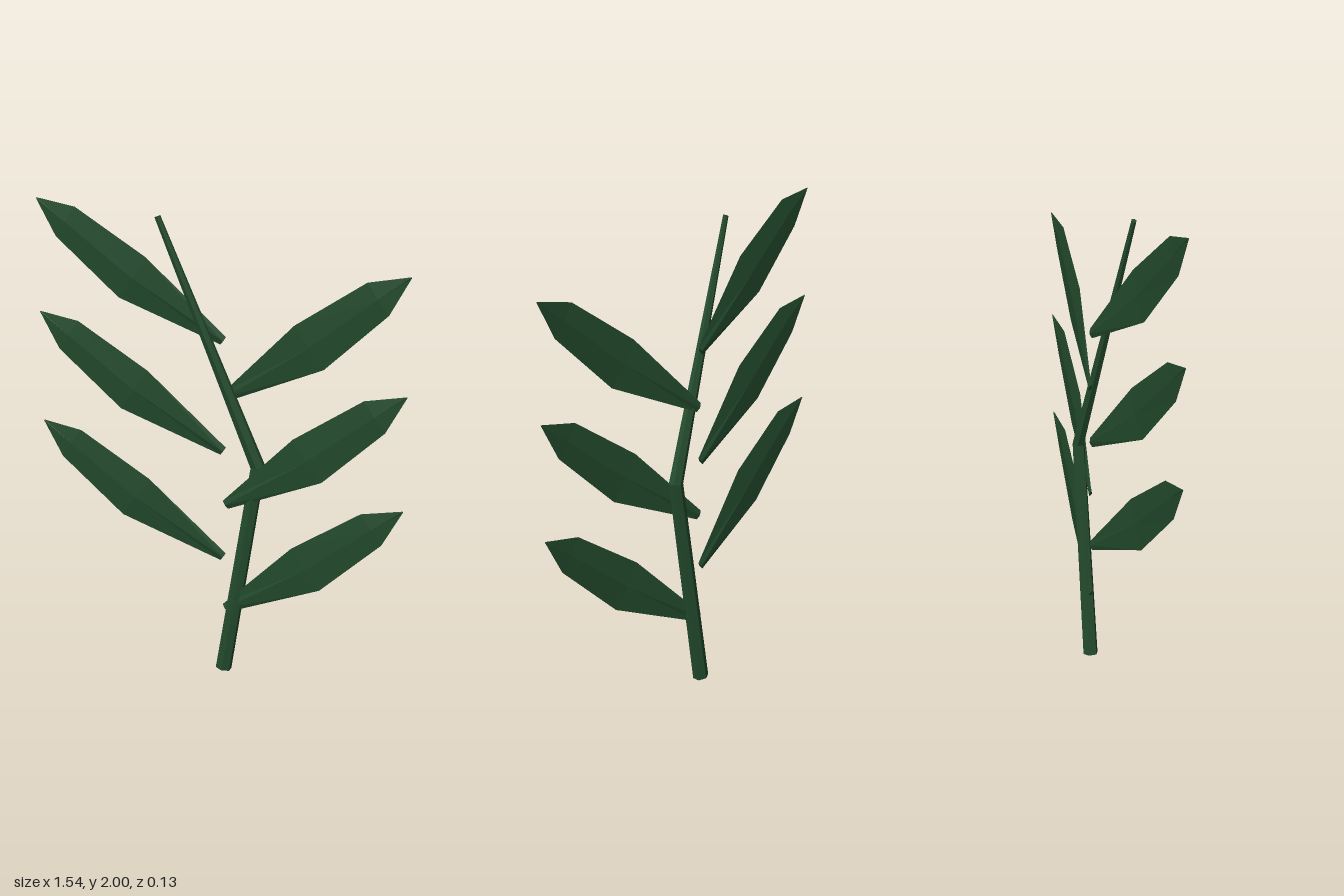
import * as THREE from 'three';

// Closed loft through rings: each ring has a centre, an in-plane direction t, half-width w and half-depth d.
function loft(rings, sides, phase) {
  const pos = [], idx = [];
  for (const { c, t, w, d } of rings) {
    const len = Math.hypot(t[0], t[1]);
    const ux = -t[1] / len, uy = t[0] / len;
    for (let i = 0; i < sides; i++) {
      const a = phase + (i / sides) * Math.PI * 2;
      pos.push(c[0] + ux * w * Math.cos(a), c[1] + uy * w * Math.cos(a), c[2] + d * Math.sin(a));
    }
  }
  for (let j = 0; j < rings.length - 1; j++) {
    for (let i = 0; i < sides; i++) {
      const a = j * sides + i, b = j * sides + ((i + 1) % sides);
      idx.push(a, b, b + sides, a, b + sides, a + sides);
    }
  }
  // end caps
  const last = (rings.length - 1) * sides;
  for (let i = 1; i < sides - 1; i++) {
    idx.push(0, i + 1, i, last, last + i, last + i + 1);
  }
  const g = new THREE.BufferGeometry();
  g.setAttribute('position', new THREE.Float32BufferAttribute(pos, 3));
  g.setIndex(idx);
  const flat = g.toNonIndexed(); // faceted normals
  flat.computeVertexNormals();
  return flat;
}

// Thin diamond-section leaf curving forward, growing to side s (+1 or -1)
function leafGeometry(s) {
  const t = [0.81 * s, 0.58];
  return loft([
    { c: [0.005 * s, 0, -0.028], t, w: 0.02, d: 0.007 },
    { c: [0.37 * s, 0.245, 0.032], t, w: 0.104, d: 0.009 },
    { c: [0.645 * s, 0.46, 0.058], t, w: 0.075, d: 0.007 },
    { c: [0.77 * s, 0.55, 0.058], t, w: 0.002, d: 0.002 },
  ], 4, 0);
}

export function createModel() {
  const group = new THREE.Group();
  const green = new THREE.MeshStandardMaterial({ color: 0x234b2d });
  green.name = 'leafGreen';

  // Bent stem, tapering above the bend
  const stem = new THREE.Mesh(loft([
    { c: [-0.004, 0.01, -0.032], t: [0.15, 0.98], w: 0.035, d: 0.032 },
    { c: [0.145, 0.93, -0.032], t: [-0.1, 1], w: 0.033, d: 0.026 },
    { c: [-0.248, 1.95, 0.058], t: [-0.36, 0.93], w: 0.013, d: 0.01 },
  ], 6, Math.PI / 6), green);
  stem.name = 'stem';
  group.add(stem);

  // Three alternating pairs of leaves
  for (const s of [1, -1]) {
    const geometry = leafGeometry(s);
    for (let i = 0; i < 3; i++) {
      const leaf = new THREE.Mesh(geometry, green);
      leaf.name = (s > 0 ? 'leftLeaf' : 'rightLeaf') + (i + 1);
      leaf.position.y = (s > 0 ? 0.29 : 0.522) + i * 0.464;
      group.add(leaf);
    }
  }
  return group;
}
